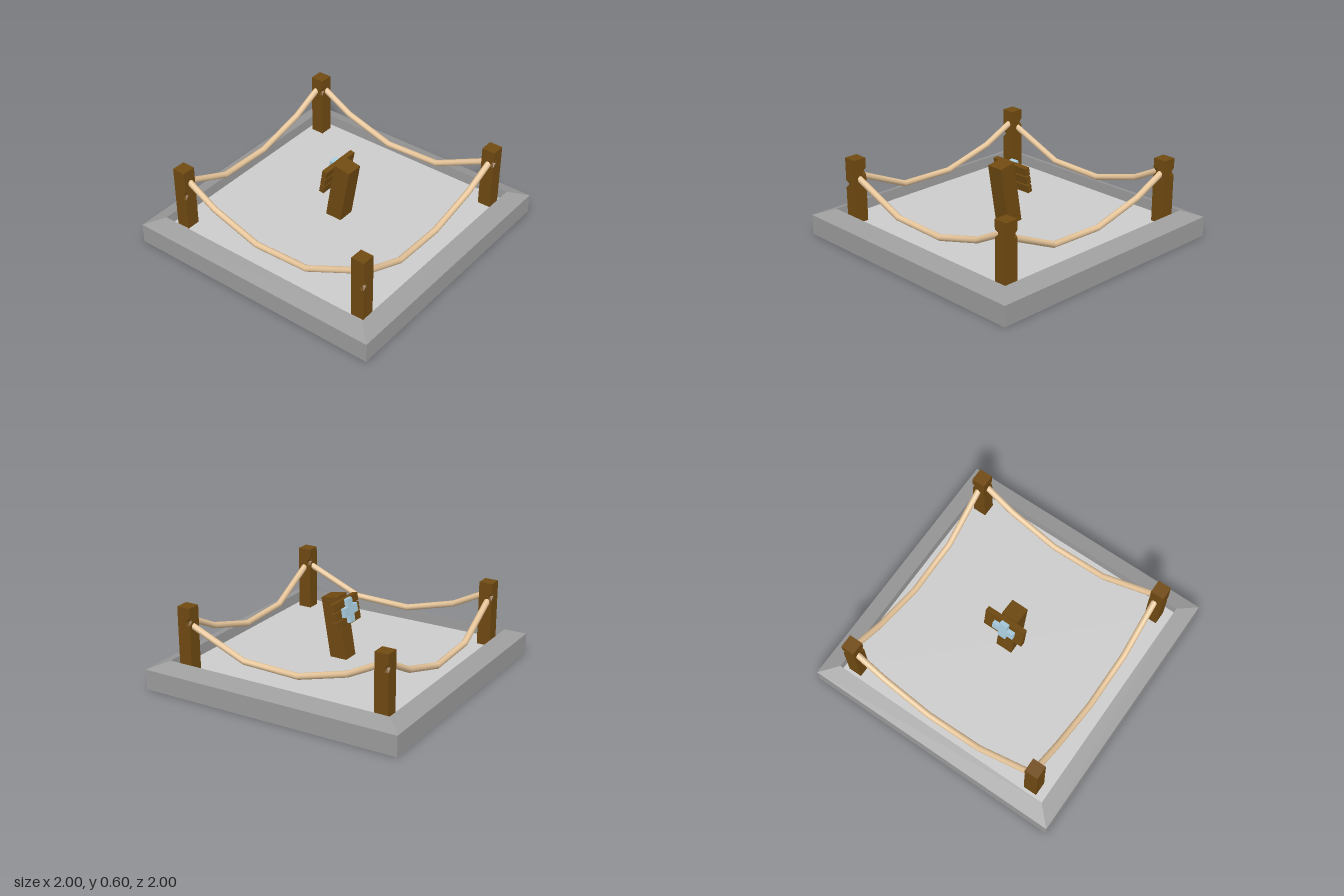
import * as THREE from 'three';

const mat = (color, flat = true) => new THREE.MeshStandardMaterial({ color, flatShading: flat });
const stone = mat(0x9d9d9d);
const sand = mat(0xcccccc);
const wood = mat(0x704a12);
const ropeMat = mat(0xe6c59a, false);
const paleBlue = mat(0xa9cde0);
const FLOOR = 0.12;

function add(parent, name, geometry, material, x = 0, y = 0, z = 0) {
  const mesh = new THREE.Mesh(geometry, material);
  mesh.name = name;
  mesh.position.set(x, y, z);
  parent.add(mesh);
  return mesh;
}

// Stack of equal-sized loops (counter-clockwise seen from above); the first loop is
// capped facing down, the last facing up
function loft(loops, capTop = true) {
  const n = loops[0].length, pos = [];
  const tri = (a, b, c) => pos.push(...a, ...b, ...c);
  for (let r = 0; r < loops.length - 1; r++) {
    for (let i = 0; i < n; i++) {
      const j = (i + 1) % n, a = loops[r], b = loops[r + 1];
      tri(a[i], a[j], b[j]);
      tri(a[i], b[j], b[i]);
    }
  }
  const bottom = loops[0], top = loops[loops.length - 1];
  for (let i = 1; i < n - 1; i++) {
    if (capTop) tri(top[0], top[i], top[i + 1]);
    tri(bottom[0], bottom[i + 1], bottom[i]);
  }
  const g = new THREE.BufferGeometry();
  g.setAttribute('position', new THREE.Float32BufferAttribute(pos, 3));
  g.computeVertexNormals();
  return g;
}

const corners = [[-1, 1], [1, 1], [1, -1], [-1, -1]];
const square = (h, y) => corners.map(([x, z]) => [x * h, y, z * h]);

// Square post with small nicks cut into its edges; nicks are [height, corner]
const POST_HALF = 0.051, POST_TOP = 0.6 - FLOOR;
function postGeometry(nicks) {
  const heights = [0, POST_TOP, ...nicks.flatMap(([y]) => [y - 0.028, y, y + 0.028])];
  const rows = [...new Set(heights)].sort((a, b) => a - b);
  return loft(rows.map((y) => corners.flatMap(([x, z], c) => {
    const k = nicks.some(([h, i]) => h === y && i === c) ? 0.6 : 1;
    // each corner has a neighbour on both faces, so a nick stays near its edge
    const before = x === z ? [x * 0.45, z] : [x, z * 0.45];
    const after = x === z ? [x, z * 0.45] : [x * 0.45, z];
    return [before, [x * k, z * k], after].map(([px, pz]) => [px * POST_HALF, y, pz * POST_HALF]);
  })));
}

// Path of straight runs, with mitred bends at the points
class Polyline extends THREE.Curve {
  constructor(points) { super(); this.points = points; }
  getPoint(t, target = new THREE.Vector3()) {
    const s = t * (this.points.length - 1);
    const i = Math.min(Math.floor(s), this.points.length - 2);
    return target.lerpVectors(this.points[i], this.points[i + 1], s - i);
  }
  getPointAt(t, target) { return this.getPoint(t, target); }
  getTangentAt(t, target) { return this.getTangent(t, target); }
}

// Sagging rope: fraction along the span, height, sideways bow
const sag = [[0, 0.48, 0], [0.29, 0.275, 0.9], [0.57, 0.262, 1], [0.82, 0.372, 0.5], [1, 0.517, 0]];
function ropeGeometry(from, to, bow, drop = 0) {
  const points = sag.map(([f, y, b]) => new THREE.Vector3(
    THREE.MathUtils.lerp(from[0], to[0], f) + bow[0] * b, y - drop,
    THREE.MathUtils.lerp(from[1], to[1], f) + bow[1] * b));
  return new THREE.TubeGeometry(new Polyline(points), sag.length - 1, 0.023, 10, false);
}

function crossGeometry(r, a, depth) {
  const s = new THREE.Shape([
    [-a, -r], [a, -r], [a, -a], [r, -a], [r, a], [a, a],
    [a, r], [-a, r], [-a, a], [-r, a], [-r, -a], [-a, -a],
  ].map(([x, y]) => new THREE.Vector2(x, y)));
  return new THREE.ExtrudeGeometry(s, { depth, bevelEnabled: false }).translate(0, 0, -depth / 2);
}

export function createModel() {
  const model = new THREE.Group();
  model.name = 'ropedPlot';

  // Stone tray: sloped rim, inner walls and a sunken floor
  const tray = [square(1, 0), square(1, 0.15), square(0.875, 0.2), square(0.873, FLOOR)];
  add(model, 'stoneRim', loft(tray, false), stone);
  add(model, 'floor', new THREE.PlaneGeometry(1.746, 1.746).rotateX(-Math.PI / 2), sand, 0, FLOOR, 0);

  // Corner posts
  for (const x of [-0.752, 0.782]) {
    const post = postGeometry([[0.5 - FLOOR, 2], [(x < 0 ? 0.4 : 0.5) - FLOOR, 0]]);
    for (const z of [-0.786, 0.775]) add(model, 'cornerPost', post, wood, x, FLOOR, z);
  }

  // Ropes between the posts
  const ropes = new THREE.Group();
  ropes.name = 'ropes';
  model.add(ropes);
  add(ropes, 'frontRope', ropeGeometry([-0.752, 0.78], [0.782, 0.78], [0, -0.025], 0.008), ropeMat);
  add(ropes, 'backRope', ropeGeometry([-0.752, -0.797], [0.782, -0.797], [0, -0.025]), ropeMat);
  add(ropes, 'rightRope', ropeGeometry([-0.743, 0.775], [-0.743, -0.786], [-0.025, 0]), ropeMat);
  add(ropes, 'leftRope', ropeGeometry([0.79, 0.775], [0.79, -0.786], [-0.025, 0]), ropeMat);

  // Leaning signpost with its board facing the back
  const sign = new THREE.Group();
  sign.name = 'sign';
  sign.position.set(0.005, 0.2, 0.008);
  sign.rotation.x = THREE.MathUtils.degToRad(9.5);
  model.add(sign);
  add(sign, 'signPost', new THREE.BoxGeometry(0.13, 0.475, 0.13), wood, 0, 0.1375, 0);
  const plank = new THREE.BoxGeometry(0.322, 0.058, 0.038);
  for (let i = 0; i < 3; i++) add(sign, 'signPlank', plank, wood, 0.013, 0.19 + i * 0.067, -0.084);
  add(sign, 'signCross', crossGeometry(0.087, 0.032, 0.03), paleBlue, 0.005, 0.267, -0.117);

  return model;
}
